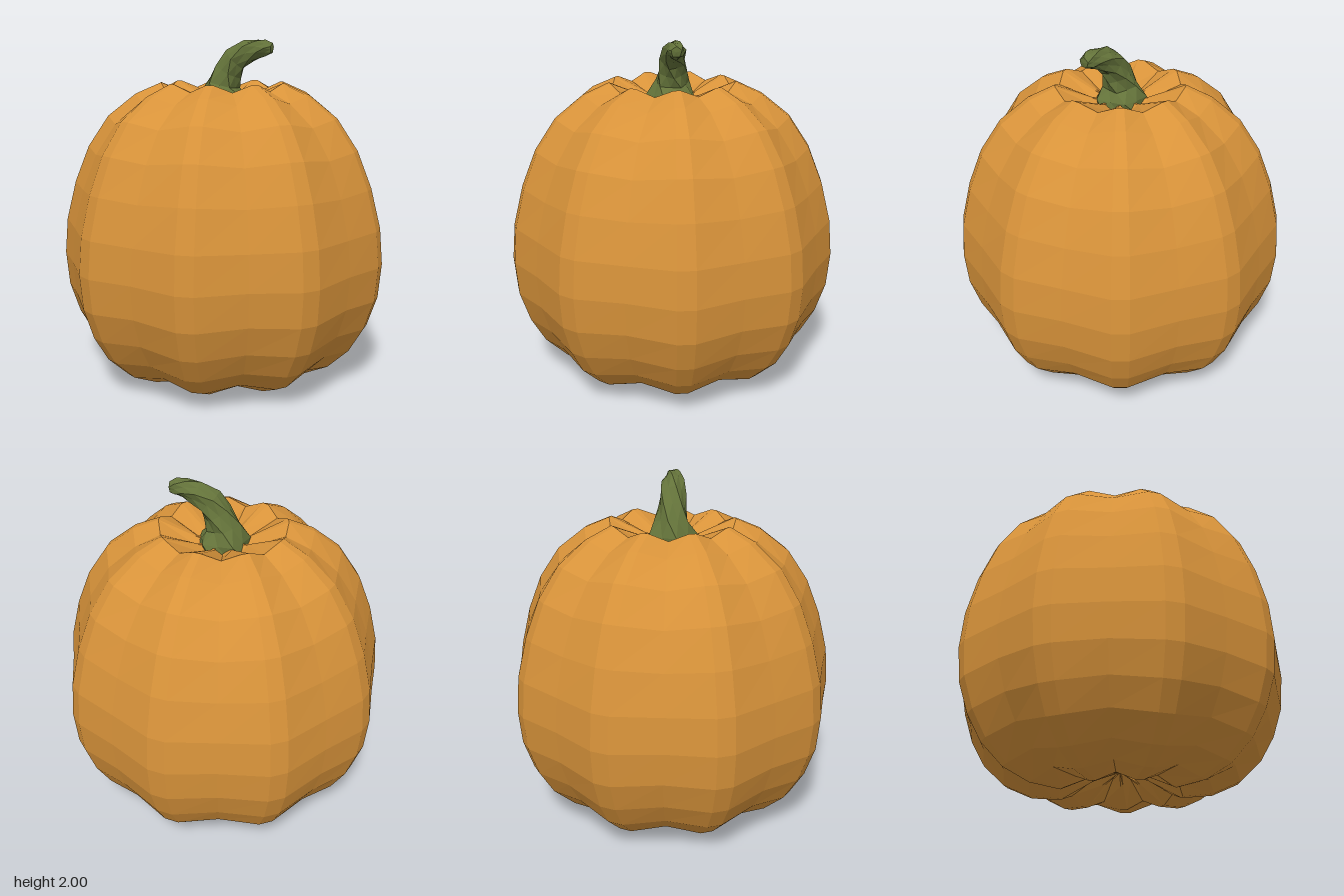
import * as THREE from 'three';

// Skin a stack of closed rings (bottom to top) with flat-shaded faces.
function loft(rings) {
  const pos = [];
  const tri = (...pts) => pts.forEach((p) => pos.push(p.x, p.y, p.z));
  const n = rings[0].length;
  for (let i = 0; i < rings.length - 1; i++) {
    for (let j = 0; j < n; j++) {
      const k = (j + 1) % n;
      const a = rings[i][j], b = rings[i][k], c = rings[i + 1][j], d = rings[i + 1][k];
      tri(a, c, b);
      tri(b, c, d);
    }
  }
  const geo = new THREE.BufferGeometry();
  geo.setAttribute('position', new THREE.Float32BufferAttribute(pos, 3));
  geo.computeVertexNormals();
  return geo;
}

const CENTRE_X = -0.016;

// Nine-lobed body: every ring has two ridge points and one groove point per lobe.
function bodyGeometry() {
  const profile = [ // radius, height along a ridge
    [0.005, 0.13], [0.16, 0.09], [0.35, 0.0], [0.527, 0.02], [0.68, 0.09],
    [0.806, 0.21], [0.89, 0.355], [0.948, 0.53], [0.966, 0.73], [0.948, 0.94],
    [0.89, 1.17], [0.806, 1.38], [0.685, 1.56], [0.52, 1.69], [0.37, 1.755],
    [0.16, 1.67], [0.005, 1.65],
  ];
  const midY = 0.88, groove = 0.952;
  const rings = profile.map(([r, y]) => {
    const ring = [];
    for (let lobe = 0; lobe < 9; lobe++) {
      for (const [offset, s] of [[-3, 1], [3, 1], [20, groove]]) {
        const a = THREE.MathUtils.degToRad(lobe * 40 + offset);
        // grooves are pulled toward the middle of the body
        ring.push(new THREE.Vector3(
          CENTRE_X + Math.cos(a) * r * s, midY + (y - midY) * s, Math.sin(a) * r * s));
      }
    }
    return ring;
  });
  return loft(rings);
}

// Bent, twisted and fluted stem that flares at its base.
function stemGeometry() {
  const path = [ // x, y, radius
    [-0.02, 1.62, 0.15], [-0.02, 1.675, 0.145], [-0.02, 1.745, 0.1], [0.015, 1.82, 0.084],
    [0.06, 1.888, 0.076], [0.135, 1.935, 0.068], [0.2, 1.953, 0.054],
    [0.25, 1.955, 0.047], [0.283, 1.952, 0.03], [0.287, 1.952, 0.001],
  ];
  const sides = 10;
  const rings = path.map(([x, y, r], i) => {
    const p = path[Math.max(i - 1, 0)], q = path[Math.min(i + 1, path.length - 1)];
    const t = new THREE.Vector2(q[0] - p[0], q[1] - p[1]).normalize();
    const ring = [];
    for (let j = 0; j < sides; j++) {
      const a = (j / sides) * Math.PI * 2 + i * 0.4;
      const rr = r * (j % 2 ? 0.87 : 1.04);
      const u = Math.cos(a) * rr;
      ring.push(new THREE.Vector3(x + t.y * u, y - t.x * u, Math.sin(a) * rr));
    }
    return ring;
  });
  return loft(rings);
}

export function createModel() {
  const orange = new THREE.MeshStandardMaterial({ color: 0xd8933a });
  orange.name = 'orange skin';
  const green = new THREE.MeshStandardMaterial({ color: 0x64733a });
  green.name = 'green stem';

  const group = new THREE.Group();
  group.name = 'pumpkin';
  const body = new THREE.Mesh(bodyGeometry(), orange);
  body.name = 'body';
  const stem = new THREE.Mesh(stemGeometry(), green);
  stem.name = 'stem';
  group.add(body, stem);
  return group;
}
